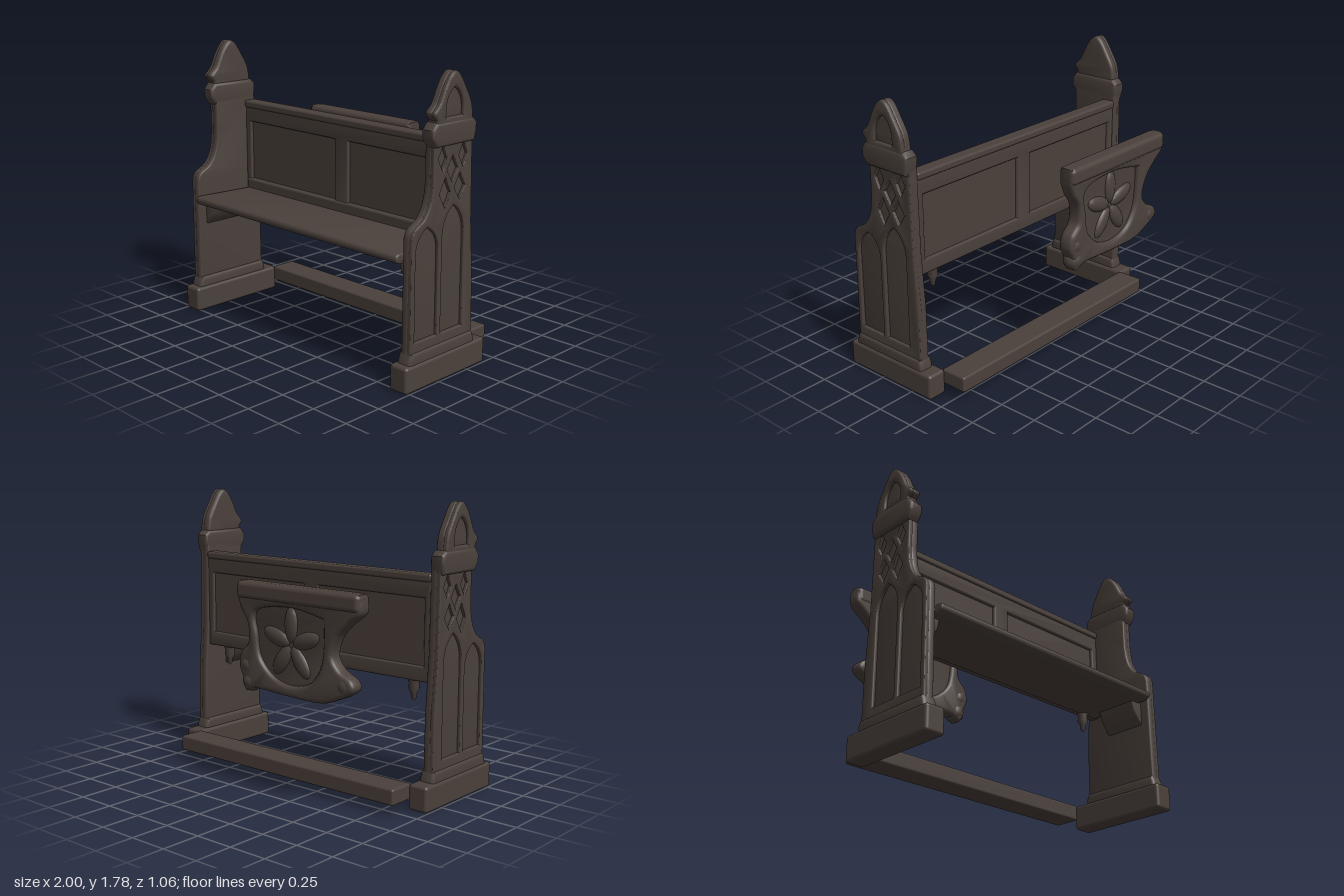
import * as THREE from 'three';
import { toCreasedNormals } from 'three/addons/utils/BufferGeometryUtils.js';
import { RoundedBoxGeometry } from 'three/addons/geometries/RoundedBoxGeometry.js';

const wood = new THREE.MeshStandardMaterial({ color: 0x4b413c });
wood.name = 'darkOak';

const V = (pts) => pts.map(([x, y]) => new THREE.Vector2(x, y));

function add(parent, name, geometry, x = 0, y = 0, z = 0) {
  const mesh = new THREE.Mesh(geometry, wood);
  mesh.name = name;
  mesh.position.set(x, y, z);
  parent.add(mesh);
  return mesh;
}

// Soft-edged slab centred on its thickness
function slab(shape, thickness, bevel) {
  const g = new THREE.ExtrudeGeometry(shape, {
    depth: thickness - 2 * bevel, bevelEnabled: true, bevelThickness: bevel,
    bevelSize: bevel, bevelOffset: -bevel, bevelSegments: 3, curveSegments: 10,
  });
  g.translate(0, 0, -(thickness - 2 * bevel) / 2);
  return toCreasedNormals(g, 0.7);
}

// Slab drawn as (z, y), with its thickness along x
const sideSlab = (shape, thickness, bevel) => slab(shape, thickness, bevel).rotateY(-Math.PI / 2);

// Block from min and max corners
function block(parent, name, a, b, radius) {
  const size = a.map((v, i) => b[i] - v);
  return add(parent, name, new RoundedBoxGeometry(...size, 3, radius),
    ...a.map((v, i) => (v + b[i]) / 2));
}

const rect = (x0, y0, x1, y1) => new THREE.Path(V([[x0, y0], [x1, y0], [x1, y1], [x0, y1]]));

// Pointed arch opening
function lancet(z0, z1, bottom, spring, tip) {
  const mid = (z0 + z1) / 2, p = new THREE.Path();
  p.moveTo(z0, bottom);
  p.lineTo(z1, bottom);
  p.lineTo(z1, spring);
  p.quadraticCurveTo(z1, (spring + tip) / 2 + 0.03, mid, tip);
  p.quadraticCurveTo(z0, (spring + tip) / 2 + 0.03, z0, spring);
  return p;
}

// Tracery lozenge
const lozenge = (z, y, w, h) =>
  new THREE.Path(V([[z - w, y], [z, y - h], [z + w, y], [z, y + h]]));

// Bench end outline as (z, y)
function endShape() {
  const s = new THREE.Shape();
  s.moveTo(-0.065, 0.1);
  s.lineTo(0.475, 0.1);
  s.lineTo(0.47, 0.88);
  s.bezierCurveTo(0.46, 0.96, 0.40, 0.94, 0.36, 0.99);
  s.bezierCurveTo(0.31, 1.05, 0.305, 1.12, 0.30, 1.2);
  s.lineTo(0.30, 1.42);
  s.lineTo(-0.025, 1.42);
  s.lineTo(-0.035, 0.9);
  s.lineTo(-0.06, 0.55);
  return s;
}

// Gabled finial outline as (z, y)
function finialShape() {
  const s = new THREE.Shape();
  s.moveTo(0.0, 1.46);
  s.lineTo(0.305, 1.46);
  s.lineTo(0.30, 1.52);
  s.splineThru(V([[0.325, 1.56], [0.28, 1.61], [0.24, 1.69], [0.20, 1.75], [0.155, 1.78],
    [0.11, 1.755], [0.06, 1.68], [0.015, 1.6], [0.0, 1.53]]));
  return s;
}

function benchEnd(side) {
  const end = new THREE.Group();
  end.name = side > 0 ? 'leftEnd' : 'rightEnd';
  const xs = (x) => side * x;

  add(end, 'endPanel', sideSlab(endShape(), 0.05, 0.012), xs(0.93));
  const face = endShape();
  face.holes.push(lancet(0.25, 0.435, 0.28, 0.78, 0.93), lancet(0.03, 0.215, 0.28, 0.84, 1.02),
    lozenge(0.075, 1.12, 0.045, 0.075), lozenge(0.20, 1.1, 0.045, 0.085),
    lozenge(0.14, 1.23, 0.045, 0.075), lozenge(0.225, 1.3, 0.035, 0.07),
    lozenge(0.05, 1.3, 0.035, 0.07));
  add(end, 'archedFace', sideSlab(face, 0.03, 0.01), xs(0.96));

  // Plinth, its moulding and the collar under the finial
  block(end, 'plinth', [xs(0.935) - 0.065, 0, -0.16], [xs(0.935) + 0.065, 0.16, 0.53], 0.02);
  const moulding = new THREE.Shape(V([[-0.08, 0.13], [0.495, 0.13], [0.485, 0.19], [0.47, 0.225], [-0.06, 0.225], [-0.075, 0.19]]));
  add(end, 'plinthMoulding', sideSlab(moulding, 0.1, 0.022), xs(0.938));
  const collar = new THREE.Shape(V([[-0.018, 1.37], [0.3, 1.37], [0.335, 1.42], [0.335, 1.47], [0.3, 1.51], [0, 1.51], [-0.035, 1.48], [-0.035, 1.43]]));
  add(end, 'collar', sideSlab(collar, 0.095, 0.02), xs(0.9525));

  // Finial with a raised rim round a small pointed recess
  add(end, 'finialCore', sideSlab(finialShape(), 0.06, 0.02), xs(0.947));
  const rim = finialShape();
  rim.holes.push(lancet(0.085, 0.225, 1.53, 1.56, 1.69));
  add(end, 'finialRim', sideSlab(rim, 0.035, 0.015), xs(0.979));

  // Bracket under the seat
  const bracket = new THREE.Shape(V([[side * 0.92, 0.57], [side * 0.92, 0.75], [side * 0.815, 0.75], [side * 0.835, 0.67], [side * 0.88, 0.61]]));
  add(end, 'seatBracket', slab(bracket, 0.28, 0.01), 0, 0, 0.27);

  // Turned drop below the back
  const drop = new THREE.LatheGeometry(V([[0, 0.605], [0.016, 0.62], [0.02, 0.655], [0.035, 0.68], [0.03, 0.71], [0.045, 0.75]]), 14);
  add(end, 'turnedDrop', drop, xs(0.765), 0, 0.03);
  return end;
}

// Loose carved board behind the bench
function carvedBoard() {
  const board = new THREE.Group();
  board.name = 'carvedBoard';
  const outline = () => {
    const s = new THREE.Shape();
    s.moveTo(0.15, 1.295);
    s.lineTo(-0.775, 1.295);
    s.splineThru(V([[-0.78, 1.19], [-0.70, 1.12], [-0.62, 1.04], [-0.58, 0.93], [-0.63, 0.85],
      [-0.72, 0.80], [-0.73, 0.74], [-0.62, 0.68], [-0.48, 0.64], [-0.2, 0.645], [0.0, 0.655],
      [0.09, 0.63], [0.11, 0.7], [0.145, 0.78], [0.13, 0.86], [0.07, 0.93], [0.07, 1.04], [0.12, 1.12], [0.15, 1.19]]));
    return s;
  };
  add(board, 'boardCore', slab(outline(), 0.05, 0.015), 0, 0, -0.465);
  const frame = outline();
  const hollow = new THREE.Path();
  hollow.moveTo(-0.52, 1.13);
  hollow.splineThru(V([[-0.27, 1.17], [0.0, 1.13], [0.0, 0.98], [-0.03, 0.84], [-0.14, 0.74],
    [-0.28, 0.71], [-0.42, 0.75], [-0.5, 0.86], [-0.52, 1.0], [-0.52, 1.13]]));
  frame.holes.push(hollow);
  add(board, 'boardFrame', slab(frame, 0.1, 0.024), 0, 0, -0.47);
  block(board, 'boardTopRail', [-0.78, 1.19, -0.53], [0.15, 1.297, -0.415], 0.03);

  // Scrolled lower corners
  for (const [x, y] of [[-0.66, 0.765], [0.085, 0.79], [0.07, 0.69]]) {
    add(board, 'scroll', new THREE.SphereGeometry(0.062, 16, 12), x, y, -0.47).scale.set(1, 1.05, 0.95);
  }
  // Soft leaves carved in the hollow
  for (let i = 0; i < 5; i++) {
    const a = Math.PI / 2 + i * Math.PI * 0.4;
    const leaf = add(board, 'leaf', new THREE.SphereGeometry(1, 14, 10),
      -0.26 + 0.12 * Math.cos(a), 0.95 + 0.12 * Math.sin(a), -0.485);
    leaf.scale.set(0.11, 0.05, 0.03);
    leaf.rotation.z = a;
  }
  return board;
}

export function createModel() {
  const model = new THREE.Group();
  model.name = 'pew';
  model.add(benchEnd(1), benchEnd(-1));

  // Seat with a rounded front lip
  const seat = new THREE.Shape();
  seat.moveTo(0.03, 0.73);
  seat.lineTo(0.46, 0.73);
  seat.quadraticCurveTo(0.505, 0.735, 0.505, 0.762);
  seat.quadraticCurveTo(0.505, 0.79, 0.47, 0.79);
  seat.lineTo(0.03, 0.775);
  add(model, 'seat', sideSlab(seat, 1.78, 0.01));

  // Back: framed pair of sunken panels
  const frame = new THREE.Shape(V([[-0.915, 0.735], [0.915, 0.735], [0.915, 1.36], [-0.915, 1.36]]));
  frame.holes.push(rect(-0.86, 0.83, -0.06, 1.23), rect(0.06, 0.83, 0.86, 1.23));
  add(model, 'backFrame', slab(frame, 0.07, 0.014), 0, 0, 0.015);
  block(model, 'backPanel', [-0.9, 0.76, -0.003], [0.9, 1.3, 0.03], 0.005);
  block(model, 'topRail', [-0.91, 1.325, -0.03], [0.91, 1.372, 0.062], 0.014);
  block(model, 'lowerRail', [-0.9, 0.75, 0.01], [0.9, 0.84, 0.062], 0.014);

  // Foot rail
  block(model, 'footRail', [-0.88, 0.063, -0.322], [0.88, 0.163, -0.145], 0.014);

  model.add(carvedBoard());
  return model;
}
